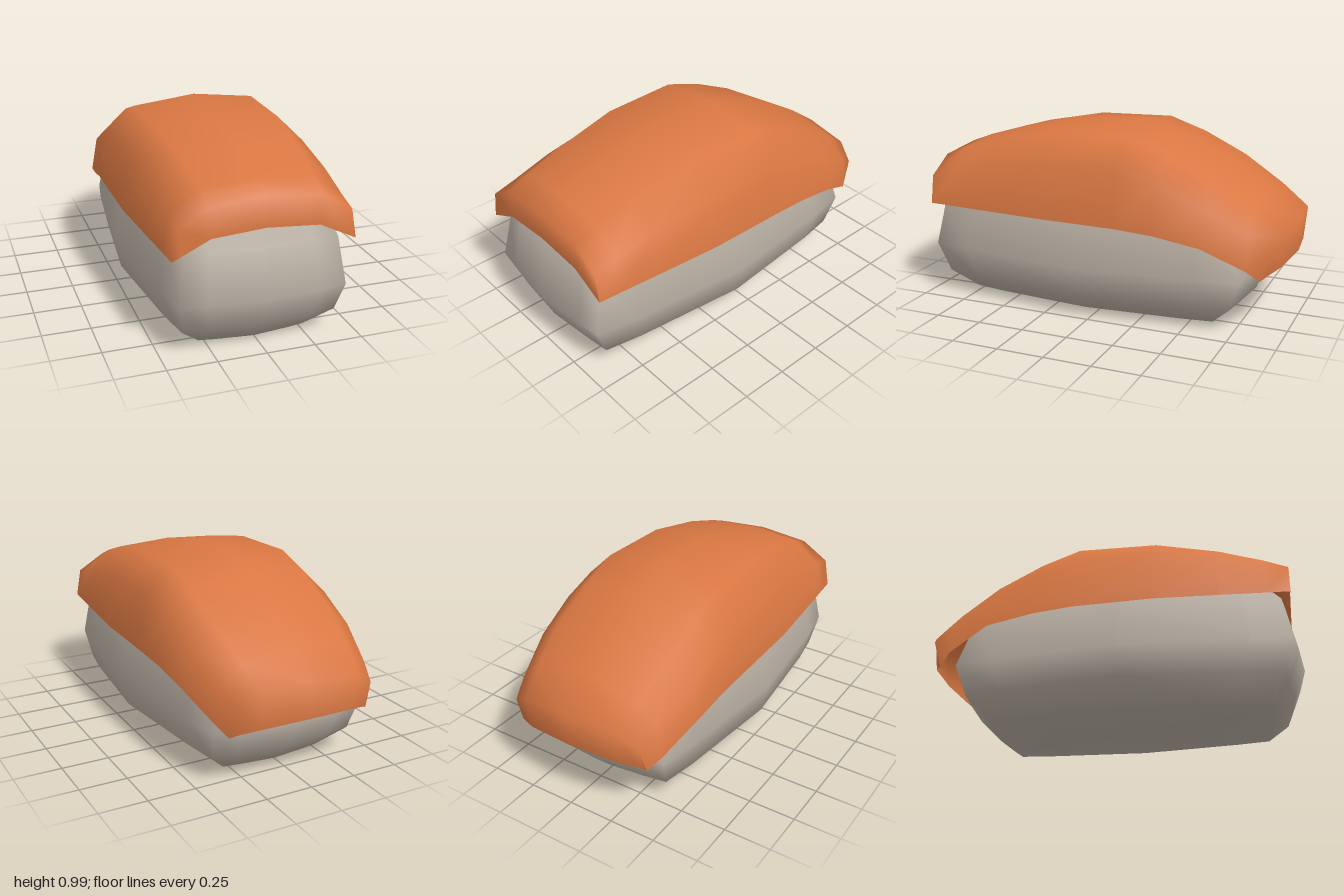
import * as THREE from 'three';

// Skin a list of cross-sections, each an array of [x, y, z] points
function loft(rows, closed) {
  const n = rows[0].length, index = [];
  for (let i = 0; i < rows.length - 1; i++) {
    for (let j = 0; j < (closed ? n : n - 1); j++) {
      const k = (j + 1) % n;
      const a = i * n + j, b = i * n + k, c = a + n, d = b + n;
      index.push(a, b, c, b, d, c);
    }
  }
  const geo = new THREE.BufferGeometry();
  geo.setAttribute('position', new THREE.Float32BufferAttribute(rows.flat(2), 3));
  geo.setIndex(index);
  geo.computeVertexNormals();
  return geo;
}

// Rice: one rounded outline scaled ring by ring
function riceGeometry() {
  const quarter = [[0, 1], [0.55, 0.97], [0.8, 0.95], [0.87, 0.72], [1, 0]];
  const half = [...quarter, ...quarter.slice(0, 4).reverse().map(([x, z]) => [x, -z])];
  const outline = [...half, ...half.slice(1, -1).reverse().map(([x, z]) => [-x, z])];
  // y, half width, front z, back z
  const rings = [
    [0, 0, 0.08, 0.08], [0, 0.345, 0.82, -0.65], [0.12, 0.492, 0.935, -0.77],
    [0.28, 0.525, 1, -0.83], [0.52, 0.485, 0.95, -0.75],
    [0.68, 0.4, 0.82, -0.62], [0.7, 0, 0.08, 0.08],
  ];
  return loft(rings.map(([y, w, front, back]) => outline.map(([x, z]) =>
    [x * w, y, (front + back) / 2 + z * (front - back) / 2])), true);
}

// Fish slice: half sections from centre to hem, mirrored across x
function fishGeometry() {
  const at = (z, yc, ...p) => [[0, yc, z], [p[0], p[1], z], [p[2], p[3], z], [p[4], p[5], z]];
  const halves = [
    at(0.955, 0.63, 0.27, 0.61, 0.41, 0.542, 0.455, 0.52), // front lip
    at(0.955, 0.785, 0.28, 0.76, 0.43, 0.67, 0.457, 0.52),
    at(0.83, 0.832, 0.285, 0.81, 0.435, 0.70, 0.467, 0.52),
    at(0.6, 0.9, 0.3, 0.882, 0.452, 0.755, 0.487, 0.52),
    at(0.27, 0.975, 0.33, 0.943, 0.475, 0.80, 0.514, 0.52),
    at(-0.15, 0.99, 0.34, 0.95, 0.482, 0.81, 0.515, 0.515),
    at(-0.36, 0.92, 0.335, 0.88, 0.477, 0.75, 0.507, 0.5),
    at(-0.6, 0.81, 0.33, 0.765, 0.462, 0.64, 0.495, 0.46),
    at(-0.82, 0.675, 0.3, 0.63, 0.41, 0.52, 0.435, 0.352),
    [[0, 0.54, -1], [0.27, 0.52, -0.97], [0.375, 0.45, -0.93], [0.39, 0.295, -0.88]],
    [[0, 0.355, -0.985], [0.26, 0.34, -0.955], [0.36, 0.31, -0.9], [0.385, 0.295, -0.88]], // back lip
  ];
  return loft(halves.map((h) =>
    [...h.slice(1).reverse().map(([x, y, z]) => [-x, y, z]), ...h]), false);
}

export function createModel() {
  const riceMat = new THREE.MeshStandardMaterial({ color: 0xb8aea2 });
  riceMat.name = 'warm grey rice';
  const fishMat = new THREE.MeshStandardMaterial({ color: 0xd97742, side: THREE.DoubleSide });
  fishMat.name = 'salmon orange';

  const group = new THREE.Group();
  group.name = 'sushi';
  const rice = new THREE.Mesh(riceGeometry(), riceMat);
  rice.name = 'rice';
  const fish = new THREE.Mesh(fishGeometry(), fishMat);
  fish.name = 'fishSlice';
  group.add(rice, fish);
  return group;
}
